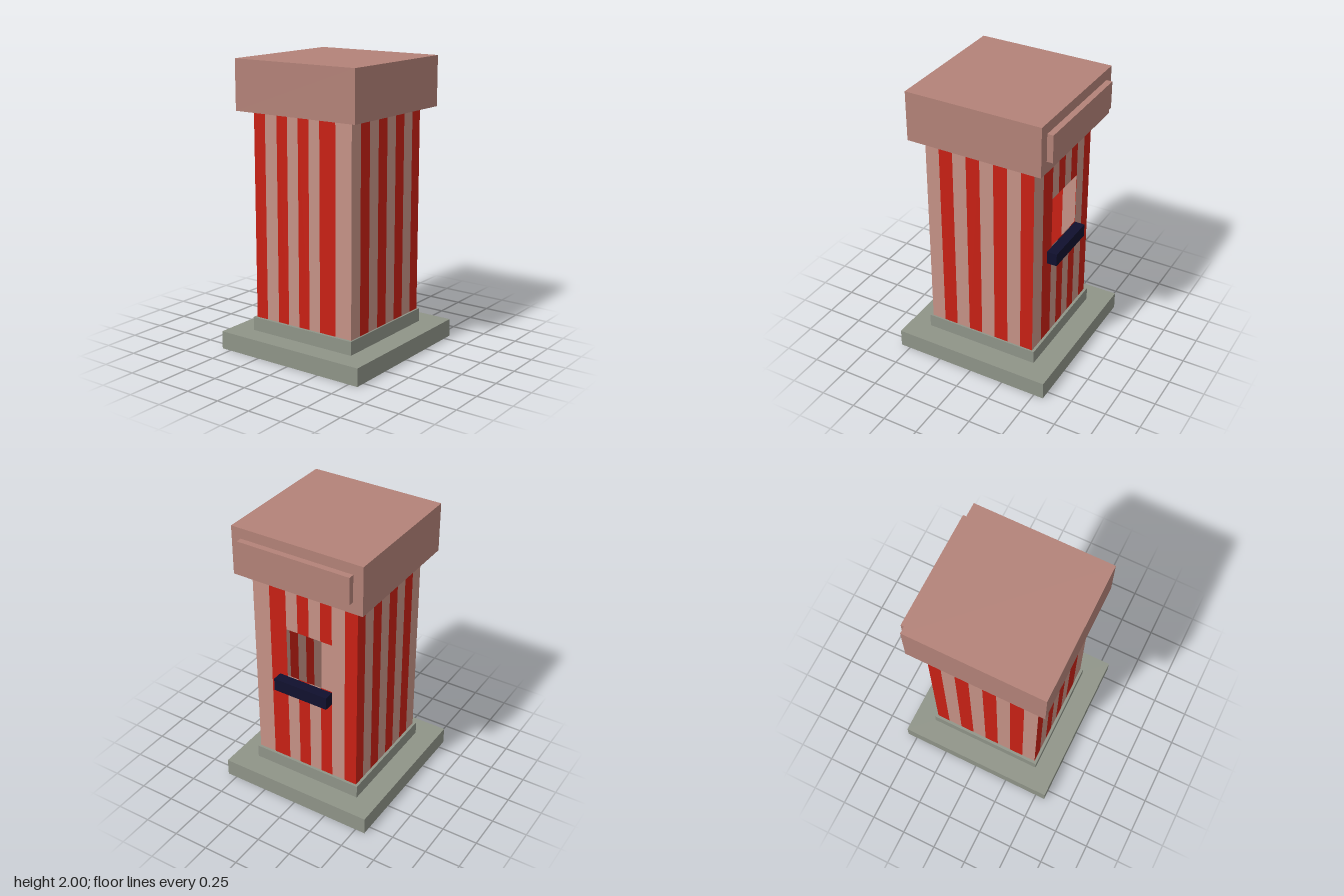
import * as THREE from 'three';

const PINK = 0xc59286, RED = 0xc82014, CAP = 0xb38278, STONE = 0x8f9488, NAVY = 0x10102e;

function material(color, side = THREE.FrontSide) {
  return new THREE.MeshStandardMaterial({ color, side, flatShading: true });
}

// Box given by its lower and upper limits on each axis
function box(name, color, [x0, x1], [y0, y1], [z0, z1]) {
  const mesh = new THREE.Mesh(new THREE.BoxGeometry(x1 - x0, y1 - y0, z1 - z0), material(color));
  mesh.name = name;
  mesh.position.set((x0 + x1) / 2, (y0 + y1) / 2, (z0 + z1) / 2);
  return mesh;
}

export function createModel() {
  const model = new THREE.Group();
  model.name = 'ticketBooth';

  // Stepped stone base
  model.add(box('basePlinth', STONE, [-0.57, 0.57], [0, 0.125], [-0.57, 0.57]));
  model.add(box('baseStep', STONE, [-0.42, 0.412], [0.125, 0.22], [-0.412, 0.412]));

  // Thin striped walls around a hollow inside
  const lo = -0.4, hi = 0.393, bottom = 0.22, top = 1.655;
  const paints = [material(PINK, THREE.DoubleSide), material(RED, THREE.DoubleSide)];

  // One upright strip between a and b, facing +z before the wall is turned
  function strip(wall, a, b, y0, y1, paint) {
    const mesh = new THREE.Mesh(new THREE.PlaneGeometry(b - a, y1 - y0), paint);
    mesh.name = 'wallStripe';
    mesh.position.set((a + b) / 2, (y0 + y1) / 2, 0);
    wall.add(mesh);
  }

  // Stripes alternate pink and red; those inside the opening are split around it
  function stripedWall(name, edges, opening) {
    const wall = new THREE.Group();
    wall.name = name;
    for (let i = 0; i < edges.length - 1; i++) {
      const a = edges[i], b = edges[i + 1], paint = paints[i % 2];
      if (opening && i >= opening.first && i <= opening.last) {
        strip(wall, a, b, bottom, opening.y0, paint);
        strip(wall, a, b, opening.y1, top, paint);
      } else {
        strip(wall, a, b, bottom, top, paint);
      }
    }
    model.add(wall);
    return wall;
  }

  const frontEdges = [lo, -0.3, -0.2, -0.1, 0, 0.1, 0.2, 0.3, hi];
  stripedWall('frontWall', frontEdges).position.z = 0.4;
  stripedWall('backWall', frontEdges).position.z = -0.393;

  // Side walls run from the front corner to the back, with the window on the left
  const sideEdges = [-0.4, -0.273, -0.147, -0.06, 0.027, 0.115, 0.202, 0.3, 0.393];
  const windowWall = stripedWall('windowWall', sideEdges, { first: 2, last: 5, y0: 0.93, y1: 1.297 });
  const plainWall = stripedWall('plainWall', sideEdges);
  windowWall.position.x = hi;
  plainWall.position.x = lo;
  windowWall.rotation.y = plainWall.rotation.y = Math.PI / 2;

  // Ceiling inside the booth
  model.add(box('ceiling', STONE, [lo + 0.005, hi - 0.005], [1.64, 1.655], [-0.388, 0.395]));

  // Counter shelf below the window
  model.add(box('counter', NAVY, [0.39, 0.465], [0.83, 0.922], [-0.202, 0.208]));

  // Roof block and its sign board
  model.add(box('roof', CAP, [-0.48, 0.48], [1.655, 2], [-0.48, 0.48]));
  model.add(box('signBoard', CAP, [0.475, 0.522], [1.737, 1.927], [-0.41, 0.41]));

  return model;
}
